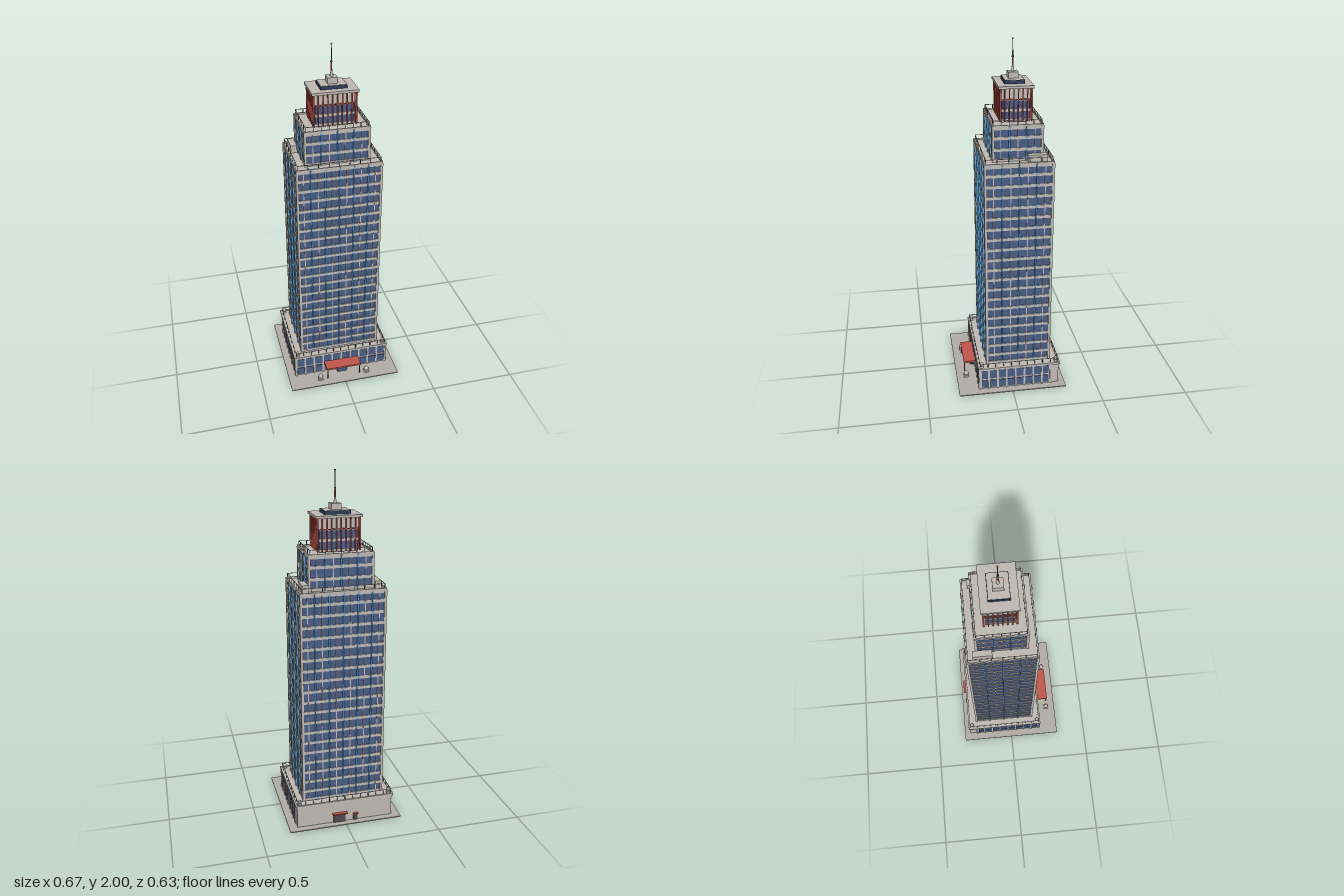
import * as THREE from 'three';

const mat = (name, color) => Object.assign(new THREE.MeshStandardMaterial({ color }), { name });
const M = {
  stone: mat('pale stone', 0xbfbab3),
  paving: mat('paving', 0xb2aea6),
  glass: mat('blue glass', 0x4a5d86),
  fin: mat('light blue fin', 0x64a6dc),
  red: mat('brick red', 0xc2564b),
  navy: mat('dark navy', 0x2c3d5c),
  metal: mat('dark metal', 0x4a4a4e),
};
const CZ = -0.045; // centre of the tower in z

// Box standing on height y
function box(parent, name, m, w, h, d, x, y, z) {
  const mesh = new THREE.Mesh(new THREE.BoxGeometry(w, h, d), m);
  mesh.name = name;
  mesh.position.set(x, y + h / 2, z);
  parent.add(mesh);
  return mesh;
}
function round(parent, name, m, geo, x, y, z) {
  const mesh = new THREE.Mesh(geo, m);
  mesh.name = name;
  mesh.position.set(x, y, z);
  parent.add(mesh);
}
function group(parent, name) {
  const g = new THREE.Group();
  g.name = name;
  parent.add(g);
  return g;
}
// Evenly spaced positions from -a to a
const spread = (n, a) => Array.from({ length: n }, (_, i) => -a + (2 * a * i) / (n - 1));

// Four bars around a rectangle
function ring(parent, name, m, hx, hz, y, h, t) {
  for (const s of [-1, 1]) {
    box(parent, name, m, 2 * hx, h, t, 0, y, CZ + s * (hz - t / 2));
    box(parent, name, m, t, h, 2 * (hz - t), s * (hx - t / 2), y, CZ);
  }
}

function railing(parent, hx, hz, y, nx, nz) {
  const g = group(parent, 'railing'), h = 0.026, t = 0.003;
  ring(g, 'handrail', M.stone, hx, hz, y + h - t, t, t);
  for (const s of [-1, 1]) {
    for (const x of spread(nx, hx - t / 2)) box(g, 'railPost', M.metal, t, h, t, x, y, CZ + s * (hz - t / 2));
    for (const z of spread(nz, hz - t / 2)) box(g, 'railPost', M.metal, t, h, t, s * (hx - t / 2), y, CZ + z);
  }
}

// Glazed block: glass core, floor bands, corner piers, mullions, coloured fins, parapet
function tier(parent, name, hx, hz, y0, y1, floors, fins, mullions) {
  const g = group(parent, name), h = y1 - y0, step = h / floors, e = 0.006;
  box(g, 'glassCore', M.glass, 2 * (hx - e), h - 0.012, 2 * (hz - e), 0, y0, CZ);
  for (let i = 0; i <= floors; i++) {
    const y = i === floors ? y1 - 0.018 : y0 + i * step - (i ? 0.008 : 0);
    box(g, 'floorBand', M.stone, 2 * hx - 0.004, 0.017, 2 * hz - 0.004, 0, y, CZ);
  }
  ring(g, 'parapet', M.stone, hx, hz, y1 - 0.012, 0.02, 0.007);
  for (const sx of [-1, 1]) for (const sz of [-1, 1])
    box(g, 'cornerPier', M.stone, 0.014, h, 0.014, sx * (hx - 0.006), y0, CZ + sz * (hz - 0.006));
  const strips = (label, m, [xs, zs], w, out) => {
    for (const s of [-1, 1]) {
      for (const x of xs) box(g, label, m, w, h, 0.01, x, y0, CZ + s * (hz + out - 0.005));
      for (const z of zs) box(g, label, m, 0.01, h, w, s * (hx + out - 0.005), y0, CZ + z);
    }
  };
  strips('fin', M.fin, fins, 0.007, 0.004);
  strips('mullion', M.stone, mullions, 0.004, -0.001);
  railing(g, hx - 0.008, hz - 0.008, y1 + 0.006, 9, 7);
}

function podium(parent) {
  const g = group(parent, 'podium'), hx = 0.288, hz = 0.24, front = CZ + hz;
  box(g, 'podiumBody', M.stone, 2 * hx - 0.008, 0.138, 2 * hz - 0.008, 0, 0.005, CZ);
  ring(g, 'podiumParapet', M.stone, hx + 0.005, hz + 0.003, 0.134, 0.014, 0.01);
  // Two window rows on the front and the sides, the back stays a plain wall
  for (const [y, h] of [[0.014, 0.048], [0.074, 0.056]]) {
    box(g, 'frontWindows', M.glass, 0.55, h, 0.006, 0, y, front - 0.003);
    for (const s of [-1, 1])
      box(g, 'sideWindows', M.glass, 0.006, h, 0.40, s * (hx - 0.003), y, front - 0.217);
  }
  for (const x of spread(11, 0.283)) box(g, 'pilaster', M.stone, 0.01, 0.13, 0.01, x, 0.005, front - 0.002);
  for (const s of [-1, 1]) for (let i = 0; i < 9; i++)
    box(g, 'pilaster', M.stone, 0.01, 0.13, 0.01, s * (hx - 0.002), 0.005, front - 0.005 - i * 0.053);
  railing(g, hx - 0.006, hz - 0.006, 0.148, 13, 11);
  // Corner globes on the podium roof
  for (const x of [-0.267, 0.267]) for (const z of [-0.265, 0.175]) {
    box(g, 'globeBase', M.stone, 0.018, 0.014, 0.018, x, 0.142, z);
    round(g, 'globe', M.stone, new THREE.SphereGeometry(0.011, 14, 10), x, 0.165, z);
  }
}

function entrances(parent) {
  const g = group(parent, 'entrances');
  // Front vestibule and canopy on posts
  box(g, 'vestibule', M.navy, 0.06, 0.052, 0.028, 0, 0.005, 0.207);
  box(g, 'vestibuleRoof', M.stone, 0.068, 0.005, 0.032, 0, 0.057, 0.208);
  for (const s of [-1, 1]) {
    box(g, 'doorLeaf', M.glass, 0.022, 0.042, 0.003, s * 0.013, 0.006, 0.2215);
    box(g, 'canopyPost', M.metal, 0.005, 0.07, 0.005, s * 0.1, 0.005, 0.262);
    box(g, 'planter', M.stone, 0.03, 0.012, 0.03, s * 0.145, 0.005, 0.257);
    round(g, 'planterGlobe', M.stone, new THREE.SphereGeometry(0.014, 16, 12), s * 0.145, 0.028, 0.257);
  }
  box(g, 'canopy', M.red, 0.214, 0.008, 0.072, 0, 0.075, 0.231);
  box(g, 'canopyEdge', M.stone, 0.214, 0.004, 0.07, 0, 0.071, 0.231);
  // Service doors and awnings at the back
  for (const [x, w, depth, h] of [[0.034, 0.088, 0.02, 0.062], [-0.062, 0.029, 0.012, 0.046]]) {
    box(g, 'serviceDoor', M.metal, w * 0.82, h - 0.007, 0.006, x, 0.005, -0.284);
    box(g, 'serviceAwning', M.red, w, 0.007, depth, x, h, -0.284 - depth / 2);
  }
}

function crown(parent) {
  const g = group(parent, 'crown'), hx = 0.12, hz = 0.088;
  box(g, 'crownCore', M.glass, 0.21, 0.12, 0.146, 0, 1.575, CZ);
  for (const y of [1.578, 1.632]) box(g, 'crownBand', M.stone, 0.218, 0.014, 0.154, 0, y, CZ);
  box(g, 'crownUpperWall', M.stone, 0.218, 0.07, 0.154, 0, 1.69, CZ);
  box(g, 'crownRoof', M.stone, 0.256, 0.014, 0.19, 0, 1.757, CZ);
  ring(g, 'crownRing', M.red, hx, hz, 1.695, 0.006, 0.005);
  for (const s of [-1, 1]) {
    for (const x of spread(10, hx - 0.003)) box(g, 'crownFin', M.red, 0.006, 0.178, 0.008, x, 1.58, CZ + s * (hz - 0.004));
    for (const z of spread(8, hz - 0.004)) box(g, 'crownFin', M.red, 0.008, 0.178, 0.006, s * (hx - 0.004), 1.58, CZ + z);
  }
  // Stepped roof plant and mast
  box(g, 'plantBase', M.navy, 0.144, 0.018, 0.11, 0, 1.771, CZ);
  box(g, 'plantRoof', M.stone, 0.138, 0.003, 0.104, 0, 1.788, CZ);
  box(g, 'mastBase', M.stone, 0.055, 0.034, 0.055, 0, 1.79, CZ);
  const cyl = (r1, r2, h) => new THREE.CylinderGeometry(r1, r2, h, 12);
  round(g, 'mastFoot', M.stone, cyl(0.005, 0.009, 0.03), 0, 1.838, CZ);
  round(g, 'mastLower', M.red, cyl(0.004, 0.005, 0.05), 0, 1.876, CZ);
  round(g, 'mastCollar', M.metal, cyl(0.006, 0.006, 0.006), 0, 1.902, CZ);
  round(g, 'mastUpper', M.metal, cyl(0.002, 0.003, 0.09), 0, 1.948, CZ);
  round(g, 'beacon', M.red, new THREE.SphereGeometry(0.005, 12, 8), 0, 1.995, CZ);
}

export function createModel() {
  const model = new THREE.Group();
  model.name = 'skyscraper';
  box(model, 'plaza', M.paving, 0.666, 0.006, 0.634, 0, 0, -0.002);
  podium(model);
  entrances(model);
  tier(model, 'mainTower', 0.24, 0.19, 0.143, 1.38, 20,
    [[-0.16, -0.08, 0, 0.08, 0.16], [-0.094, 0, 0.094]],
    [[-0.2, -0.12, -0.04, 0.04, 0.12, 0.2], [-0.141, -0.047, 0.047, 0.141]]);
  tier(model, 'upperTower', 0.182, 0.138, 1.38, 1.572, 3,
    [[-0.09, 0, 0.09], [-0.046, 0.046]],
    [[-0.135, -0.045, 0.045, 0.135], [-0.092, 0, 0.092]]);
  // Roof plant boxes beside the upper tower
  for (const s of [-1, 1]) box(model, 'roofUnit', M.stone, 0.034, 0.042, 0.102, s * 0.202, 1.379, -0.148);
  crown(model);
  return model;
}
